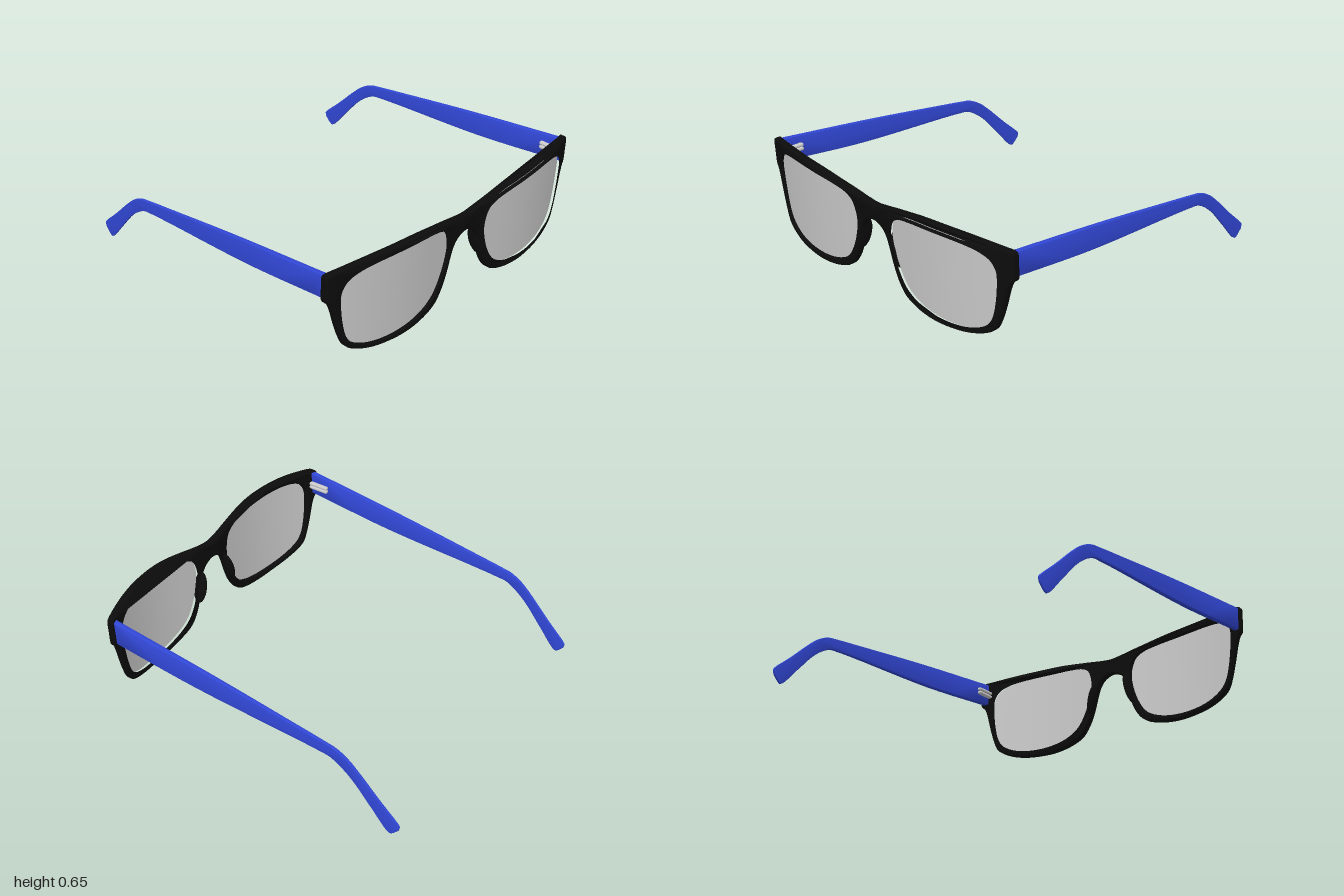
import * as THREE from 'three';
import { toCreasedNormals } from 'three/addons/utils/BufferGeometryUtils.js';
import { RoundedBoxGeometry } from 'three/addons/geometries/RoundedBoxGeometry.js';

const black = new THREE.MeshStandardMaterial({ color: 0x0c0c0c });
const blue = new THREE.MeshStandardMaterial({ color: 0x3248d8 });
const grey = new THREE.MeshStandardMaterial({ color: 0xcccccc });
const lensGrey = new THREE.MeshStandardMaterial({ color: 0xcccccc, side: THREE.DoubleSide });

const spline = (pts, closed) =>
  new THREE.CatmullRomCurve3(pts.map(([x, y]) => new THREE.Vector3(x, y, 0)), closed, 'centripetal');
const flat = (curve, n) => curve.getPoints(n).map((p) => new THREE.Vector2(p.x, p.y));
const mirrored = (pts) => pts.map(([x, y]) => [-x, y]);

// Move every vertex of a geometry by a rule
function warp(geo, rule) {
  const p = geo.attributes.position;
  for (let i = 0; i < p.count; i++) p.setXYZ(i, ...rule(p.getX(i), p.getY(i), p.getZ(i)));
  return geo;
}

function add(parent, name, geo, mat) {
  const mesh = new THREE.Mesh(geo, mat);
  mesh.name = name;
  parent.add(mesh);
  return mesh;
}

// Wrap of the front: slight dip at the bridge, swept-back ends, tilted lower rim
function frontZ(x, y) {
  const a = Math.abs(x);
  const z = a < 0.4 ? 0.985 - 0.01 * Math.cos((Math.PI * a) / 0.4) : 0.995 - 0.105 * ((a - 0.4) / 0.57) ** 2;
  return z + 0.05 * (y - 0.62);
}

// Left half of the frame outline, from the top of the bridge round to its underside
const outline = [
  [0, 0.572], [0.07, 0.58], [0.2, 0.606], [0.4, 0.64], [0.6, 0.65], [0.75, 0.646], [0.9, 0.63], [0.955, 0.62],
  [0.966, 0.61], [0.968, 0.54], [0.968, 0.47], [0.962, 0.455], [0.945, 0.44], [0.928, 0.4], [0.9, 0.29],
  [0.873, 0.2], [0.845, 0.14], [0.8, 0.108], [0.7, 0.075], [0.58, 0.06], [0.45, 0.058], [0.32, 0.078],
  [0.23, 0.115], [0.175, 0.185], [0.14, 0.27], [0.115, 0.36], [0.092, 0.42], [0.06, 0.455], [0, 0.475],
];
const opening = [
  [0.14, 0.41], [0.145, 0.48], [0.17, 0.54], [0.22, 0.572], [0.32, 0.592], [0.45, 0.602], [0.58, 0.606],
  [0.7, 0.602], [0.79, 0.586], [0.85, 0.555], [0.882, 0.5], [0.885, 0.42], [0.868, 0.28], [0.845, 0.2],
  [0.81, 0.152], [0.71, 0.105], [0.53, 0.086], [0.35, 0.11], [0.245, 0.165], [0.178, 0.27],
];

function buildFront() {
  const front = new THREE.Group();
  front.name = 'front';

  // Frame with two openings
  const full = [...outline, ...mirrored(outline.slice(1, -1)).reverse()];
  const shape = new THREE.Shape(flat(spline(full, true), 280).slice(0, -1));
  for (const pts of [opening, mirrored(opening)])
    shape.holes.push(new THREE.Path(flat(spline(pts, true), 120).slice(0, -1)));
  const frame = new THREE.ExtrudeGeometry(shape, {
    depth: 0.029, bevelThickness: 0.008, bevelSize: 0.008, bevelOffset: -0.008, bevelSegments: 2,
  });
  warp(frame, (x, y, z) => [x, y, frontZ(x, y) + z - 0.037]);
  add(front, 'frame', toCreasedNormals(frame, 0.6), black);

  for (const side of [1, -1]) {
    // Lens: a ringed disc stretched out to the edge of the opening
    const edge = spline(opening, true);
    const lens = warp(new THREE.RingGeometry(0, 1, 80, 8), (x, y) => {
      const r = Math.hypot(x, y);
      const t = 1 - ((Math.atan2(y, x) / (2 * Math.PI) + 1) % 1);
      const e = edge.getPoint(t % 1);
      const px = 0.52 + (e.x - 0.52) * r * 1.015;
      const py = 0.35 + (e.y - 0.35) * r * 1.015;
      return [side * px, py, frontZ(px, py) - 0.02];
    });
    // The right lens and the reversed sweep are mirrored, so face it forwards again
    if (side === 1) lens.index.array.reverse();
    lens.computeVertexNormals();
    add(front, side > 0 ? 'leftLens' : 'rightLens', lens, lensGrey);

    // Nose pad behind the inner rim
    const pad = add(front, side > 0 ? 'leftNosePad' : 'rightNosePad', new THREE.SphereGeometry(1, 24, 16), black);
    pad.scale.set(0.021, 0.1, 0.045);
    pad.position.set(side * 0.134, 0.335, 0.922);
    pad.rotation.z = side * 0.25;
  }
  return front;
}

// Temple arm seen from the side, as (z, y)
const templeTop = [
  [0.87, 0.612], [0.2, 0.532], [-0.3, 0.462], [-0.5, 0.433], [-0.58, 0.418], [-0.65, 0.383], [-0.72, 0.325],
  [-0.85, 0.2], [-0.965, 0.095], [-0.975, 0.08],
];
const templeBottom = [
  [-0.968, 0.055], [-0.93, 0.018], [-0.912, 0.014], [-0.8, 0.135], [-0.69, 0.258], [-0.62, 0.315], [-0.55, 0.353],
  [-0.48, 0.362], [-0.34, 0.372], [0.3, 0.408], [0.87, 0.472],
];

// rows: [z, inner x, outer x] giving the arm's plan
function buildTemple(side, rows, shiftZ) {
  const group = new THREE.Group();
  group.name = side > 0 ? 'leftTemple' : 'rightTemple';
  const plan = (z, k) => {
    const i = z > rows[1][0] ? 0 : 1;
    const f = (z - rows[i][0]) / (rows[i + 1][0] - rows[i][0]);
    return rows[i][k] + (rows[i + 1][k] - rows[i][k]) * f;
  };
  const shape = new THREE.Shape([...flat(spline(templeTop), 60), ...flat(spline(templeBottom), 60)]);
  const arm = new THREE.ExtrudeGeometry(shape, {
    depth: 0.6, bevelThickness: 0.2, bevelSize: 0.006, bevelOffset: -0.006, bevelSegments: 2,
  });
  warp(arm, (s, y, e) => {
    const t = e + 0.2;
    const inner = side * plan(s, 1);
    const outer = side * plan(s, 2);
    const z = s + shiftZ * Math.min(1, (0.87 - s) / 1.4);
    return [Math.max(inner, outer) * (1 - t) + Math.min(inner, outer) * t, y, z];
  });
  add(group, 'arm', toCreasedNormals(arm, 0.6), blue);

  // Hinge leaves on the inner face
  for (const y of [0.522, 0.546]) {
    const hinge = add(group, 'hinge', new RoundedBoxGeometry(0.028, 0.021, 0.13, 3, 0.009), grey);
    hinge.position.set(side * 0.914, y, 0.805);
  }
  return group;
}

export function createModel() {
  const model = new THREE.Group();
  model.name = 'glasses';

  const front = buildFront();
  front.rotation.y = 0.01;
  front.position.x = -0.007;
  model.add(front);

  model.add(buildTemple(1, [[0.87, 0.922, 0.957], [-0.55, 0.917, 0.936], [-0.98, 0.915, 0.927]], -0.025));
  model.add(buildTemple(-1, [[0.87, 0.924, 0.957], [-0.55, 0.929, 0.947], [-0.98, 0.908, 0.918]], 0));

  // Slight sideways lean, as resting unevenly
  model.rotation.z = 0.008;
  return model;
}
